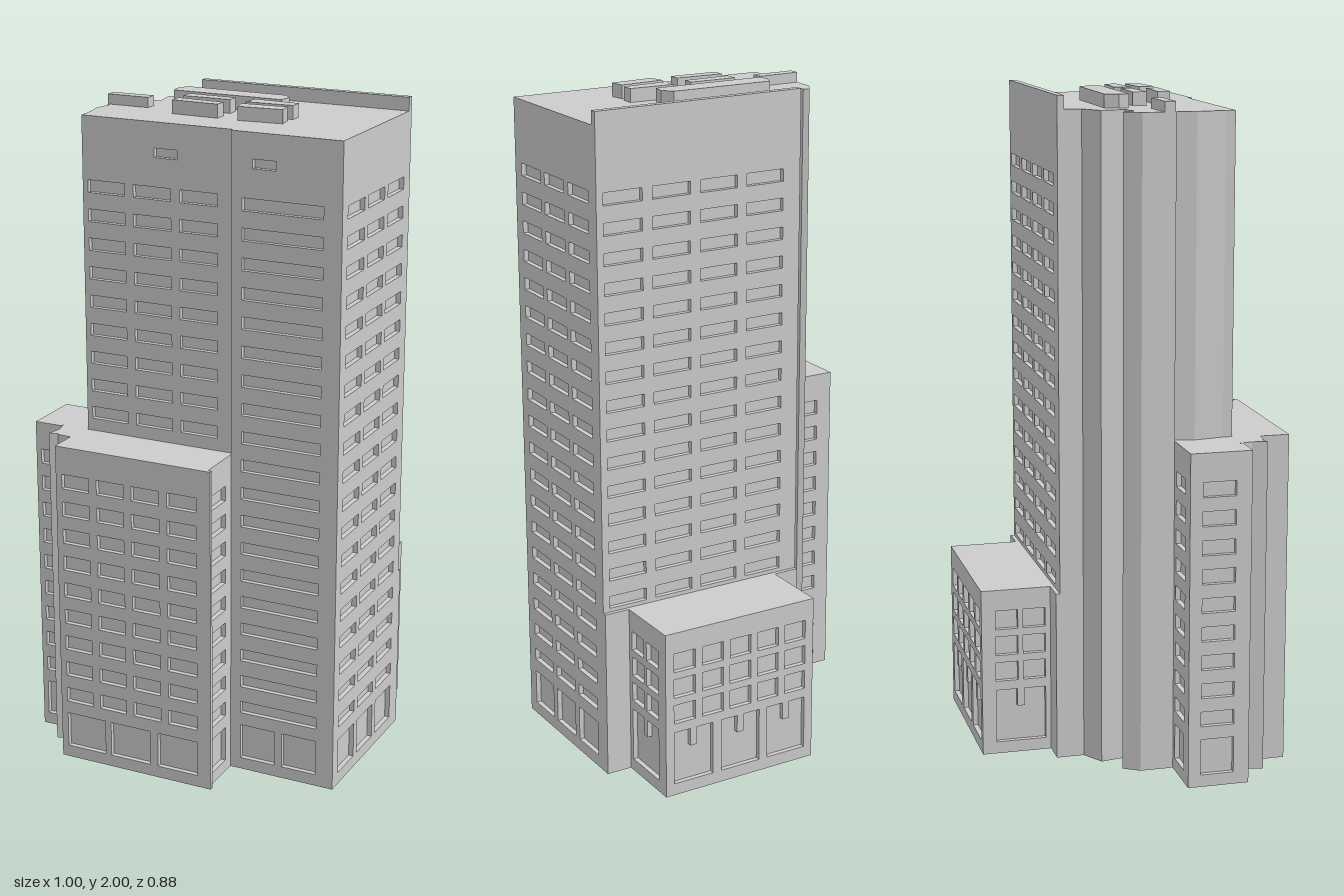
import * as THREE from 'three';

const D = 0.015; // depth of the window recesses
const material = new THREE.MeshStandardMaterial({ color: 0xcccccc, flatShading: true });

// Vertical prism over a ground plan given as [x, z] corners
function prism(name, plan, y0, y1) {
  const shape = new THREE.Shape(plan.map(([x, z]) => new THREE.Vector2(x, -z)));
  const geometry = new THREE.ExtrudeGeometry(shape, { depth: y1 - y0, bevelEnabled: false });
  geometry.rotateX(-Math.PI / 2).translate(0, y0, 0);
  const mesh = new THREE.Mesh(geometry, material);
  mesh.name = name;
  return mesh;
}

const rect = (x0, x1, z0, z1) => [[x0, z0], [x1, z0], [x1, z1], [x0, z1]];

// Opening outline; a notch hangs from the middle of its top edge if asked for
function opening(a, b, y0, y1, notch = 0) {
  const pts = [[a, y0], [b, y0], [b, y1]];
  if (notch) {
    const m = (a + b) / 2, w = 0.011;
    pts.push([m + w, y1], [m + w, y1 - notch], [m - w, y1 - notch], [m - w, y1]);
  }
  pts.push([a, y1]);
  return pts;
}

// Rows of openings for columns given as [start, end]
function grid(cols, y, pitch, rows, height) {
  const out = [];
  for (let i = 0; i < rows; i++) {
    for (const [a, b] of cols) out.push(opening(a, b, y + i * pitch, y + i * pitch + height));
  }
  return out;
}

// Turn about y, sign of the span axis, sign of the outward axis
const SIDES = { front: [0, 1, 1], right: [Math.PI / 2, -1, 1], back: [Math.PI, -1, -1], left: [-Math.PI / 2, 1, -1] };

// Pierced wall panel: a..b is the world span along the wall, at is its outer plane
function wall(name, side, at, a, b, y0, y1, holes) {
  const [angle, su, sn] = SIDES[side];
  const path = (pts) => {
    const out = pts.map(([u, y]) => new THREE.Vector2(u * su, y));
    return su < 0 ? out.reverse() : out; // keep outlines counter-clockwise
  };
  const shape = new THREE.Shape(path([[a, y0], [b, y0], [b, y1], [a, y1]]));
  shape.holes = holes.map((h) => new THREE.Path(path(h)));
  const geometry = new THREE.ExtrudeGeometry(shape, { depth: D, bevelEnabled: false });
  geometry.translate(0, 0, at * sn - D).rotateY(angle);
  const mesh = new THREE.Mesh(geometry, material);
  mesh.name = name;
  return mesh;
}

const ground = (cols) => grid(cols, 0.037, 0, 1, 0.11);
const towerRows = (cols, first = 0) => grid(cols, 0.188 + first * 0.086, 0.086, 19 - first, 0.037);
const annexRows = (cols) => grid(cols, 0.187, 0.0865, 9, 0.045);

function buildTower() {
  const g = new THREE.Group();
  g.name = 'tower';
  const H = 1.96, X = 0.497, B = -0.217;
  // Core, with the irregular shafts on its left-hand flank
  g.add(prism('towerCore', [
    [-0.17, B + D], [X - D, B + D], [X - D, 0.28 - D], [0.16, 0.28 - D], [0.16, 0.268 - D],
    [-0.322, 0.268 - D], [-0.322, 0.24], [-0.336, 0.15], [-0.325, 0.09], [-0.335, 0.09],
    [-0.335, -0.01], [-0.305, -0.058], [-0.288, -0.05], [-0.288, -0.015],
    [-0.222, -0.03], [-0.235, -0.105], [-0.17, -0.145],
  ], 0, H));

  const sideCols = [[0.121, 0.241], [-0.024, 0.095], [-0.17, -0.05]];
  g.add(wall('towerRightWall', 'right', X, B, 0.28, 0, H, [...towerRows(sideCols), ...ground(sideCols)]));

  g.add(wall('towerFrontWall', 'front', 0.28, 0.16, X, 0, H, [
    ...towerRows([[0.193, 0.441]]),
    ...ground([[0.193, 0.305], [0.33, 0.441]]),
    opening(0.225, 0.297, 1.858, 1.885),
  ]));
  g.add(wall('towerFrontLeftWall', 'front', 0.268, -0.322, 0.16, 1.0, H, [
    ...towerRows([[-0.305, -0.185], [-0.157, -0.037], [-0.009, 0.111]], 10),
    opening(-0.088, -0.015, 1.858, 1.885),
  ]));

  const backCols = [0, 1, 2, 3].map((i) => [-0.113 + i * 0.155, 0.01 + i * 0.155]);
  g.add(wall('towerBackWall', 'back', B, -0.17, X, 0, H, towerRows(backCols, 4)));
  return g;
}

function buildFrontAnnex() {
  const g = new THREE.Group();
  g.name = 'frontAnnex';
  const H = 1.01;
  // One core for the front block, the stepped link and the side wing
  g.add(prism('annexCore', [
    [-0.5 + D, 0.09 + D], [-0.3, 0.09 + D], [-0.3, 0.24], [0.16 - D, 0.24], [0.16 - D, 0.44 - D],
    [-0.336, 0.44 - D], [-0.336, 0.351], [-0.375, 0.348], [-0.384, 0.342], [-0.41, 0.35],
    [-0.4, 0.305], [-0.41, 0.275 - D], [-0.5 + D, 0.275 - D],
  ], 0, H));

  g.add(wall('annexFrontWall', 'front', 0.44, -0.336, 0.16, 0, H, [
    ...annexRows([[-0.316, -0.226], [-0.2, -0.111], [-0.085, 0.006], [0.032, 0.127]]),
    ...ground([[-0.315, -0.185], [-0.165, -0.032], [-0.005, 0.128]]),
  ]));
  const pierced = (cols) => [...annexRows(cols), ...ground(cols)];
  g.add(wall('annexRightWall', 'right', 0.16, 0.26, 0.44, 0, H, pierced([[0.316, 0.411]])));
  g.add(wall('wingFrontWall', 'front', 0.275, -0.5, -0.41, 0, H, pierced([[-0.483, -0.455]])));
  g.add(wall('wingLeftWall', 'left', -0.5, 0.09, 0.275, 0, H, pierced([[0.128, 0.228]])));
  g.add(wall('wingBackWall', 'back', 0.09, -0.5, -0.325, 0, H, pierced([[-0.45, -0.355]])));
  g.add(prism('cornerFin', rect(0.155, 0.172, 0.428, 0.44), 0, H));
  return g;
}

function buildRearAnnex() {
  const g = new THREE.Group();
  g.name = 'rearAnnex';
  const H = 0.52, L = -0.09, R = 0.418, B = -0.442;
  g.add(prism('rearCore', rect(L + D, R - D, B + D, -0.2), 0, H));
  g.add(prism('rearLink', rect(-0.17, 0.497, -0.229, -0.2), 0, H));

  const rows = (cols) => grid(cols, 0.232, 0.082, 3, 0.059);
  const sideHoles = [
    ...rows([[-0.314, -0.245], [-0.399, -0.33]]),
    opening(-0.399, -0.245, 0.037, 0.203, 0.055),
  ];
  g.add(wall('rearRightWall', 'right', R, B, -0.2, 0, H, sideHoles));
  g.add(wall('rearLeftWall', 'left', L, B, -0.2, 0, H, sideHoles));

  const backCols = [0, 1, 2, 3, 4].map((i) => [L + 0.028 + i * 0.095, L + 0.1 + i * 0.095]);
  const doors = [0, 1, 2].map((i) => opening(L + 0.028 + i * 0.16, L + 0.16 + i * 0.16, 0.037, 0.203, 0.055));
  g.add(wall('rearBackWall', 'back', B, L, R, 0, H, [...rows(backCols), ...doors]));
  return g;
}

function buildRoof() {
  const g = new THREE.Group();
  g.name = 'roofDetails';
  const Y = 1.95;
  g.add(prism('rearParapet', rect(-0.17, 0.497, -0.217, -0.196), Y, 2));
  g.add(prism('leftRoofUnit', [[-0.335, 0.055], [-0.202, 0.052], [-0.202, 0.088], [-0.335, 0.088]], Y, 1.99));
  g.add(prism('longRoofUnit', [
    [-0.172, -0.035], [-0.155, -0.075], [0.165, -0.071], [0.189, -0.04], [0.183, 0], [-0.165, -0.004],
  ], Y, 2));
  const units = [
    [[-0.098, 0.025], [0.05, 0.027], [0.05, 0.063], [-0.098, 0.066]],
    [[-0.098, 0.099], [0.05, 0.106], [0.05, 0.143], [-0.098, 0.138]],
    [[0.112, 0.022], [0.25, 0.029], [0.25, 0.067], [0.104, 0.074], [0.112, 0.052], [0.104, 0.048]],
    [[0.104, 0.1], [0.243, 0.091], [0.25, 0.137], [0.115, 0.147]],
  ];
  units.forEach((plan, i) => g.add(prism('roofUnit' + (i + 1), plan, Y, 2)));
  return g;
}

export function createModel() {
  const model = new THREE.Group();
  model.name = 'officeTower';
  model.add(buildTower(), buildFrontAnnex(), buildRearAnnex(), buildRoof());
  return model;
}
